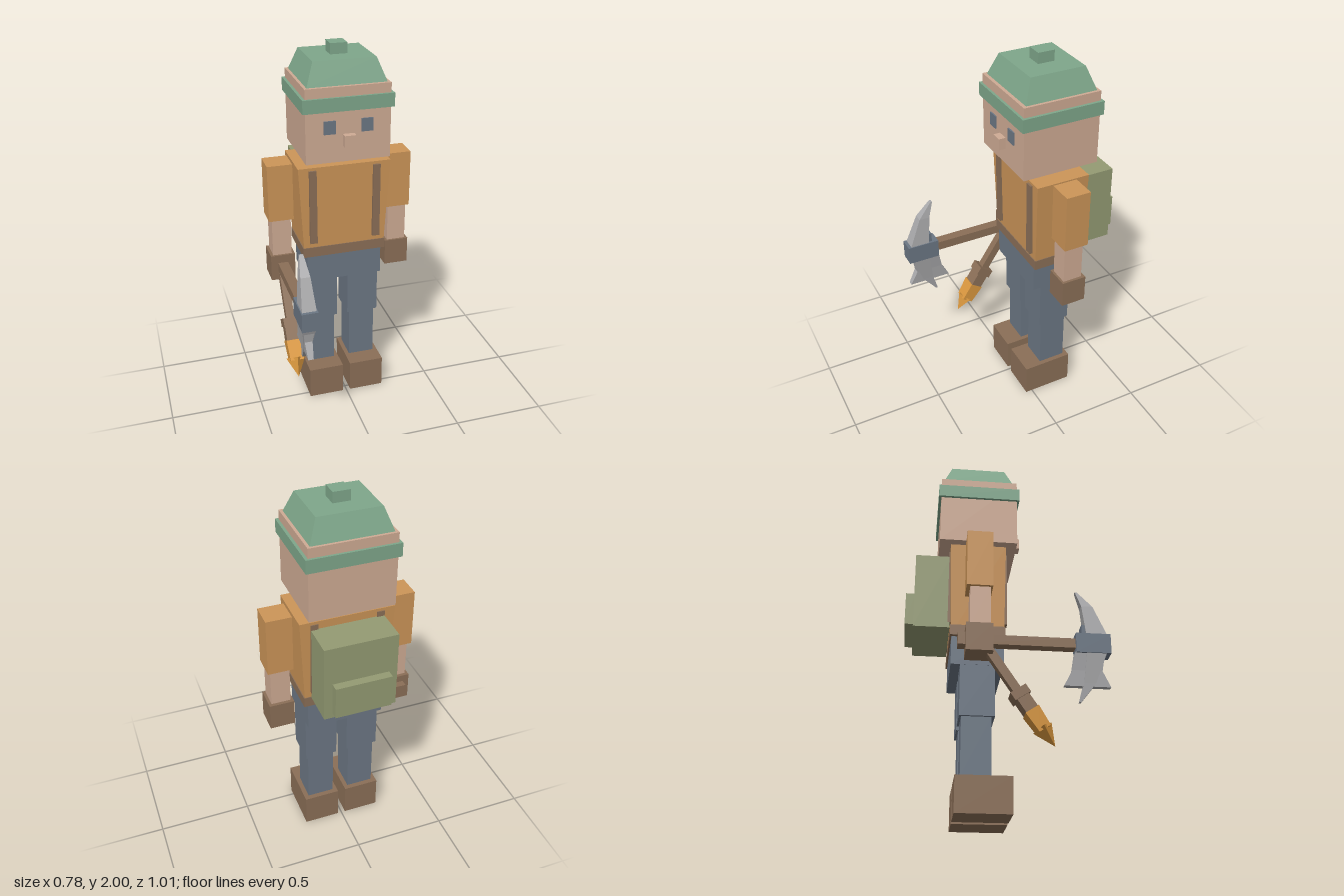
import * as THREE from 'three';

const mat = (name, color) => {
  const m = new THREE.MeshStandardMaterial({ color });
  m.name = name;
  return m;
};

export function createModel() {
  const skin = mat('skin', 0xcfab94), shirt = mat('shirt orange', 0xcc9558);
  const slate = mat('slate blue', 0x6c7784), leather = mat('leather brown', 0x8b6f57);
  const wool = mat('wool green', 0x7fa78b), canvas = mat('canvas olive', 0x949b73);
  const steel = mat('steel grey', 0xababad), flame = mat('flame orange', 0xdd9a40);

  const model = new THREE.Group();
  model.name = 'miner';

  const add = (parent, name, geometry, material) => {
    const mesh = new THREE.Mesh(geometry, material);
    mesh.name = name;
    parent.add(mesh);
    return mesh;
  };

  // Box given by its extents on each axis
  const box = (parent, name, material, [x0, x1], [y0, y1], [z0, z1]) => {
    const mesh = add(parent, name, new THREE.BoxGeometry(x1 - x0, y1 - y0, z1 - z0), material);
    mesh.position.set((x0 + x1) / 2, (y0 + y1) / 2, (z0 + z1) / 2);
    return mesh;
  };

  // Stack of rectangles, bottom to top: [y, half width, z back, z front]
  const loft = (parent, name, material, sections) => {
    const rings = sections.map(([y, w, z0, z1]) => [[-w, y, z0], [-w, y, z1], [w, y, z1], [w, y, z0]]);
    const pos = [];
    const quad = (a, b, c, d) => pos.push(...a, ...b, ...c, ...a, ...c, ...d);
    for (let r = 0; r < rings.length - 1; r++) {
      for (let i = 0; i < 4; i++) {
        const j = (i + 1) % 4;
        quad(rings[r][i], rings[r][j], rings[r + 1][j], rings[r + 1][i]);
      }
    }
    quad(...rings[rings.length - 1]);
    quad(...[...rings[0]].reverse());
    const g = new THREE.BufferGeometry();
    g.setAttribute('position', new THREE.Float32BufferAttribute(pos, 3));
    g.computeVertexNormals();
    return add(parent, name, g, material);
  };

  // Trunk
  box(model, 'pelvis', slate, [-0.205, 0.205], [0.74, 0.892], [-0.27, -0.005]);
  box(model, 'belt', leather, [-0.227, 0.227], [0.89, 0.945], [-0.278, 0]);
  loft(model, 'torso', shirt, [[0.895, 0.22, -0.273, -0.005], [1.4, 0.247, -0.286, 0.003]]);
  box(model, 'neck', skin, [-0.073, 0.073], [1.4, 1.446], [-0.207, -0.074]);

  // Head and face
  box(model, 'head', skin, [-0.22, 0.22], [1.445, 1.83], [-0.345, 0.067]);
  box(model, 'nose', skin, [-0.03, 0.03], [1.53, 1.59], [0.06, 0.103]);

  // Woollen hat
  box(model, 'hatBrim', wool, [-0.235, 0.235], [1.71, 1.78], [-0.358, 0.08]);
  loft(model, 'hatCrown', wool, [[1.83, 0.205, -0.331, 0.049], [1.945, 0.162, -0.288, 0.004]]);
  box(model, 'hatButton', wool, [-0.044, 0.044], [1.945, 2], [-0.187, -0.099]);

  // Mirrored parts
  for (const [s, side] of [[1, 'left'], [-1, 'right']]) {
    const pair = (name, material, a, b, y, z) =>
      box(model, side + name, material, s > 0 ? [a, b] : [-b, -a], y, z);
    pair('Eye', slate, 0.067, 0.127, [1.595, 1.663], [0.066, 0.074]);
    pair('FrontStrap', leather, 0.152, 0.191, [0.975, 1.385], [-0.015, 0.014]);
    pair('BackStrap', leather, 0.152, 0.191, [0.975, 1.385], [-0.291, -0.265]);
    pair('Sleeve', shirt, 0.257, 0.39, [1.09, 1.4], [-0.209, -0.077]);
    pair('Forearm', skin, 0.272, 0.374, [0.88, 1.092], [-0.19, -0.087]);
    pair('Hand', leather, 0.257, 0.389, [0.74, 0.885], [-0.208, -0.075]);
    pair('Thigh', slate, 0.03, 0.204, [0.475, 0.742], [-0.223, -0.048]);
    pair('Shin', slate, 0.045, 0.19, [0.178, 0.477], [-0.212, -0.063]);
    pair('Boot', leather, 0.022, 0.215, [0, 0.18], [-0.238, 0.037]);
  }

  // Backpack
  box(model, 'backpack', canvas, [-0.19, 0.19], [0.945, 1.357], [-0.465, -0.28]);
  box(model, 'backpackPocket', canvas, [-0.147, 0.147], [0.975, 1.15], [-0.508, -0.46]);

  // Pickaxe held forward in the right hand
  const pickaxe = new THREE.Group();
  pickaxe.name = 'pickaxe';
  pickaxe.position.x = -0.324;
  model.add(pickaxe);
  box(pickaxe, 'pickaxeHandle', leather, [-0.027, 0.027], [0.79, 0.84], [-0.21, 0.34]);
  box(pickaxe, 'pickaxePommel', leather, [-0.032, 0.032], [0.782, 0.848], [-0.245, -0.205]);
  box(pickaxe, 'pickaxeHead', slate, [-0.042, 0.042], [0.763, 0.865], [0.332, 0.505]);
  box(pickaxe, 'pickaxeWedge', slate, [-0.028, 0.028], [0.86, 0.915], [0.364, 0.398]);
  loft(pickaxe, 'upperPick', steel,
    [[0.86, 0.037, 0.385, 0.49], [1.02, 0.025, 0.368, 0.425], [1.105, 0.011, 0.341, 0.351]]);
  loft(pickaxe, 'lowerPick', steel,
    [[0.515, 0.009, 0.341, 0.351], [0.61, 0.018, 0.368, 0.425], [0.77, 0.037, 0.385, 0.485]]);
  loft(pickaxe, 'adzeBlade', steel,
    [[0.595, 0.014, 0.27, 0.5], [0.675, 0.02, 0.312, 0.46], [0.77, 0.032, 0.33, 0.475]]);

  // Torch hanging from the right hand, tip at the local origin
  const torch = new THREE.Group();
  torch.name = 'torch';
  torch.position.set(-0.324, 0.295, 0.22);
  torch.rotation.x = -0.586;
  model.add(torch);
  const handle = [-0.022, 0.022], wrap = [-0.039, 0.039], collar = [-0.044, 0.044];
  box(torch, 'torchHandle', leather, handle, [0.3, 0.58], handle);
  box(torch, 'torchCollar', leather, collar, [0.275, 0.32], collar);
  box(torch, 'torchWrap', leather, wrap, [0.2, 0.3], [-0.033, 0.033]);
  loft(torch, 'torchFlame', flame, [[0.09, 0.036, -0.032, 0.032], [0.2, 0.043, -0.038, 0.038]]);
  const tip = new THREE.CylinderGeometry(0.053, 0.0005, 0.105, 4).toNonIndexed();
  tip.computeVertexNormals();
  add(torch, 'torchTip', tip, flame).position.y = 0.0525;

  return model;
}
